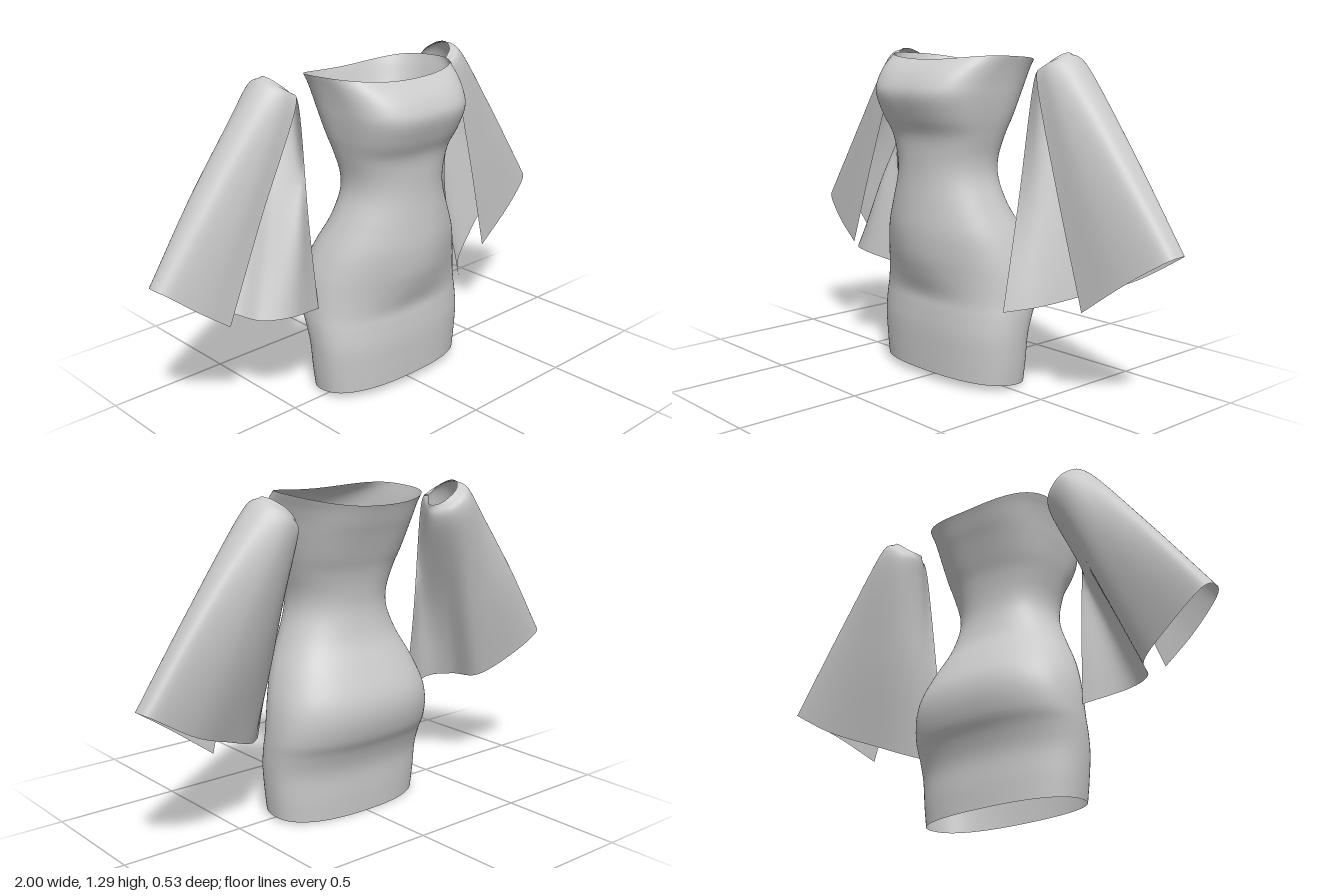
import * as THREE from 'three';

const fabric = new THREE.MeshStandardMaterial({ color: 0xcccccc, side: THREE.DoubleSide });
const spline = pts =>
  new THREE.CatmullRomCurve3(pts.map(p => new THREE.Vector3(...p)), false, 'catmullrom', 0.5);

// Smooth sheet from point(u, v); closed sheets share their seam
function sheet(name, point, cols, rows, closed) {
  const pos = [], index = [], n = closed ? cols : cols + 1;
  for (let i = 0; i <= rows; i++)
    for (let j = 0; j < n; j++) pos.push(...point(j / cols, i / rows));
  for (let i = 0; i < rows; i++)
    for (let j = 0; j < cols; j++) {
      const a = i * n + j, b = i * n + (j + 1) % n;
      index.push(a, a + n, b, b, a + n, b + n);
    }
  const geo = new THREE.BufferGeometry();
  geo.setAttribute('position', new THREE.Float32BufferAttribute(pos, 3));
  geo.setIndex(index);
  geo.computeVertexNormals();
  const mesh = new THREE.Mesh(geo, fabric);
  mesh.name = name;
  return mesh;
}

// Dress levels: height, half width, front z, back z, squareness, belly bulge
const levels = [
  [0.015, 0.345, 0.155, -0.175, 2.4, 0],
  [0.10, 0.355, 0.158, -0.18, 2.4, 0],
  [0.20, 0.363, 0.16, -0.185, 2.4, 0],
  [0.28, 0.366, 0.155, -0.212, 2.4, 0],
  [0.34, 0.365, 0.152, -0.245, 2.4, 0],
  [0.42, 0.357, 0.157, -0.265, 2.4, 0.022],
  [0.50, 0.34, 0.168, -0.258, 2.4, 0.033],
  [0.60, 0.303, 0.183, -0.215, 2.4, 0.027],
  [0.70, 0.255, 0.19, -0.168, 2.3, 0.015],
  [0.80, 0.215, 0.194, -0.147, 2.25, 0.004],
  [0.88, 0.21, 0.198, -0.148, 2.3, 0],
  [0.97, 0.23, 0.206, -0.165, 2.5, 0],
  [1.04, 0.247, 0.238, -0.19, 2.8, 0],
  [1.12, 0.261, 0.266, -0.22, 3.0, 0],
  [1.17, 0.268, 0.255, -0.24, 3.0, 0],
  [1.22, 0.278, 0.215, -0.257, 2.9, 0],
  [1.255, 0.289, 0.158, -0.268, 2.8, 0],
];

function dress() {
  const outline = spline(levels.map(([y, w, , , n]) => [w, y, n]));
  const depth = spline(levels.map(([, , f, b, , belly]) => [f, b, belly]));
  return sheet('dress', (u, v) => {
    const o = outline.getPoint(v), d = depth.getPoint(v);
    const a = u * Math.PI * 2, c = Math.cos(a), s = Math.sin(a);
    const e = 2 / o.z, mid = (d.x + d.y) / 2;
    const x = o.x * Math.sign(c) * Math.abs(c) ** e;
    const belly = s > 0 ? d.z * Math.exp(-((x / 0.18) ** 2)) : 0;
    const z = mid + (d.x - mid) * Math.sign(s) * Math.abs(s) ** e + belly;
    // hem slopes to the back, neckline dips at the centre
    const hem = 0.09 * z * (1 - v) ** 6;
    const neck = v ** 10 * (0.06 * z + 0.025 * (x / 0.28) ** 2 - 0.003);
    return [x, o.y + hem + neck, z];
  }, 80, 64, true);
}

// Sleeve rings run from the front slit round the outside, back and inside
const armhole = [
  [0.41, 1.235, -0.085], [0.445, 1.265, -0.095], [0.465, 1.285, -0.125],
  [0.47, 1.29, -0.155], [0.455, 1.28, -0.19], [0.415, 1.25, -0.215],
  [0.365, 1.21, -0.195], [0.345, 1.2, -0.15], [0.40, 1.23, -0.085],
];
const shoulder = [
  [0.42, 1.18, -0.04], [0.48, 1.21, -0.05], [0.525, 1.232, -0.09],
  [0.54, 1.24, -0.15], [0.52, 1.225, -0.22], [0.46, 1.18, -0.262],
  [0.385, 1.13, -0.23], [0.35, 1.11, -0.14], [0.405, 1.17, -0.035],
];
const leftFlare = [
  [[0.53, 0.78, -0.04], [0.65, 0.85, -0.05], [0.75, 0.91, -0.09],
    [0.775, 0.925, -0.15], [0.755, 0.91, -0.21], [0.63, 0.83, -0.225],
    [0.49, 0.765, -0.18], [0.39, 0.73, -0.1], [0.352, 0.74, -0.02]],
  [[0.645, 0.355, -0.055], [0.83, 0.49, -0.065], [0.97, 0.585, -0.1],
    [1.0, 0.605, -0.15], [0.97, 0.59, -0.2], [0.79, 0.48, -0.175],
    [0.6, 0.4, -0.1], [0.46, 0.345, -0.03], [0.36, 0.32, 0.065]],
];
// The right sleeve folds at the back, its inner panel bowing forward
const rightFlare = [
  [[0.585, 0.8, -0.05], [0.665, 0.86, -0.055], [0.75, 0.91, -0.09],
    [0.775, 0.925, -0.15], [0.755, 0.91, -0.215], [0.66, 0.85, -0.225],
    [0.55, 0.79, -0.185], [0.51, 0.77, -0.09], [0.45, 0.76, -0.01], [0.38, 0.74, -0.03]],
  [[0.74, 0.41, -0.06], [0.86, 0.5, -0.07], [0.97, 0.59, -0.1],
    [1.0, 0.61, -0.15], [0.97, 0.59, -0.2], [0.84, 0.51, -0.18],
    [0.69, 0.43, -0.12], [0.64, 0.42, -0.01], [0.53, 0.415, 0.04], [0.36, 0.38, -0.01]],
];

function sleeve(name, flare, side) {
  const rings = [armhole, shoulder, ...flare].map(spline);
  return sheet(name, (u, v) => {
    const around = side > 0 ? u : 1 - u;
    const p = spline(rings.map(r => r.getPoint(around).toArray())).getPoint(v);
    return [side * p.x, p.y, p.z];
  }, 64, 30, false);
}

export function createModel() {
  const model = new THREE.Group();
  model.name = 'dressWithSleeves';
  model.add(dress(), sleeve('leftSleeve', leftFlare, 1), sleeve('rightSleeve', rightFlare, -1));
  return model;
}
